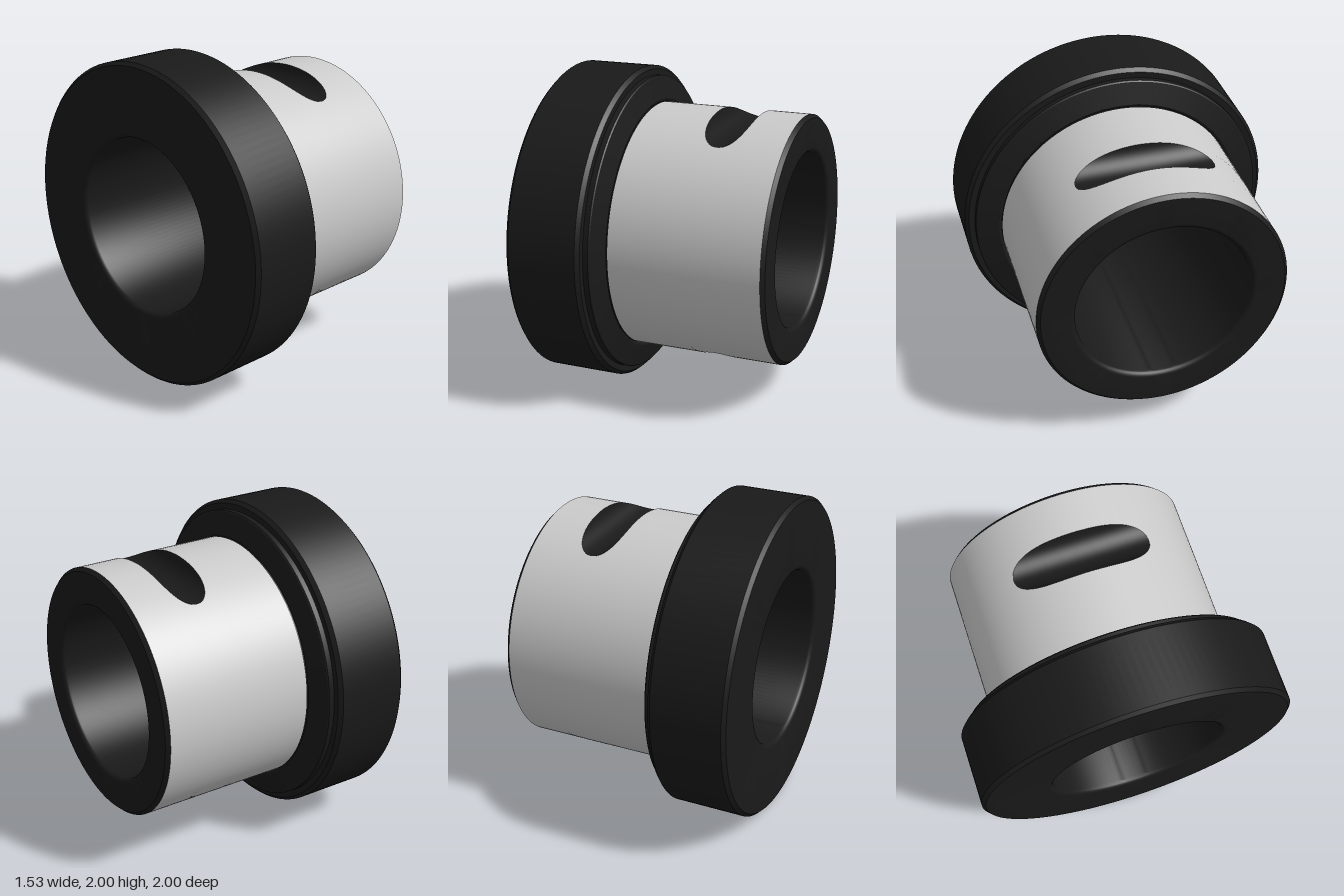
import * as THREE from 'three';
import { toCreasedNormals } from 'three/addons/utils/BufferGeometryUtils.js';

const dark = new THREE.MeshStandardMaterial({ color: 0x1a1a1a });
const grey = new THREE.MeshStandardMaterial({ color: 0xcccccc });

const R = 0.777;                                  // sleeve radius
const X0 = -0.205, X1 = 0.742;                    // ends of the ground sleeve surface
const groove = { x: 0.345, y: 0.785, r: 0.135 };  // round cutter running across the sleeve

// Points of a quarter-circle, from angle a0 to a1, as (radius, axial) pairs
function arc(cr, cx, rad, a0, a1, n = 6) {
  return Array.from({ length: n + 1 }, (_, i) => {
    const a = a0 + (a1 - a0) * i / n;
    return [cr + rad * Math.cos(a), cx + rad * Math.sin(a)];
  });
}

// Surface from fn(i, v) -> { p, n }, i = column, v = 0..1 along the column
function gridSurface(cols, rows, fn) {
  const pos = [], nor = [], idx = [];
  for (let i = 0; i < cols; i++) {
    for (let j = 0; j <= rows; j++) {
      const { p, n } = fn(i, j / rows);
      pos.push(...p);
      nor.push(...n);
      if (i < cols - 1 && j < rows) {
        const a = i * (rows + 1) + j, b = a + rows + 1;
        idx.push(a, a + 1, b, b, a + 1, b + 1);
      }
    }
  }
  const g = new THREE.BufferGeometry();
  g.setAttribute('position', new THREE.Float32BufferAttribute(pos, 3));
  g.setAttribute('normal', new THREE.Float32BufferAttribute(nor, 3));
  g.setIndex(idx);
  return g;
}

export function createModel() {
  const model = new THREE.Group();
  const add = (geometry, material, name) => {
    const mesh = new THREE.Mesh(geometry, material);
    mesh.name = name;
    model.add(mesh);
    return mesh;
  };

  // Flange, bore and end face: one turned profile (radius, axial)
  const bore = 0.545, f = 0.035;
  const profile = [
    [R, X1], [0.755, 0.765],
    ...arc(bore + f, 0.765 - f, f, Math.PI / 2, Math.PI),
    ...arc(bore + f, -0.765 + f, f, Math.PI, Math.PI * 1.5),
    [0.978, -0.765], [1, -0.743], [1, -0.308], [0.978, -0.285],
    [0.94, -0.285], [0.94, -0.252], [0.933, -0.245],
    ...arc(R + 0.02, -0.225, 0.02, Math.PI / 2, Math.PI, 4),
    [R, X0],
  ].map(([r, x]) => new THREE.Vector2(r, x));
  const body = new THREE.LatheGeometry(profile, 128);
  body.rotateZ(-Math.PI / 2);
  add(toCreasedNormals(body, Math.PI / 7), dark, 'flangeAndBore');

  // Cross-sections through the groove, packed more closely toward its edges
  const N = 48;
  const cuts = Array.from({ length: N + 1 }, (_, i) => {
    const t = i / N, phi = Math.PI * t * t * (3 - 2 * t);
    const h = Math.min(R, groove.y - groove.r * Math.sin(phi));
    return { x: groove.x - groove.r * Math.cos(phi), h, a: Math.acos(h / R), phi };
  });

  // Sleeve: two half shells that leave the groove openings free
  const columns = [{ x: X0, a: 0 }, ...cuts, { x: X1, a: 0 }];
  for (const side of [0, 1]) {
    const shell = gridSurface(columns.length, 64, (i, v) => {
      const { x, a } = columns[i];
      const th = side * Math.PI + a + (Math.PI - 2 * a) * v;
      const c = Math.cos(th), s = Math.sin(th);
      return { p: [x, R * c, R * s], n: [0, c, s] };
    });
    add(shell, grey, side ? 'sleeveBackHalf' : 'sleeveFrontHalf');
  }

  // Round-bottomed grooves, top and bottom
  const floor = gridSurface(cuts.length, 8, (i, v) => {
    const { x, h, a, phi } = cuts[i];
    return {
      p: [x, h, R * Math.sin(a) * (2 * v - 1)],
      n: [Math.cos(phi), Math.sin(phi), 0],
    };
  });
  add(floor, dark, 'topGroove');
  add(floor, dark, 'bottomGroove').rotation.x = Math.PI;

  model.position.y = 1;
  const root = new THREE.Group();
  root.name = 'flangedBushing';
  root.add(model);
  return root;
}
